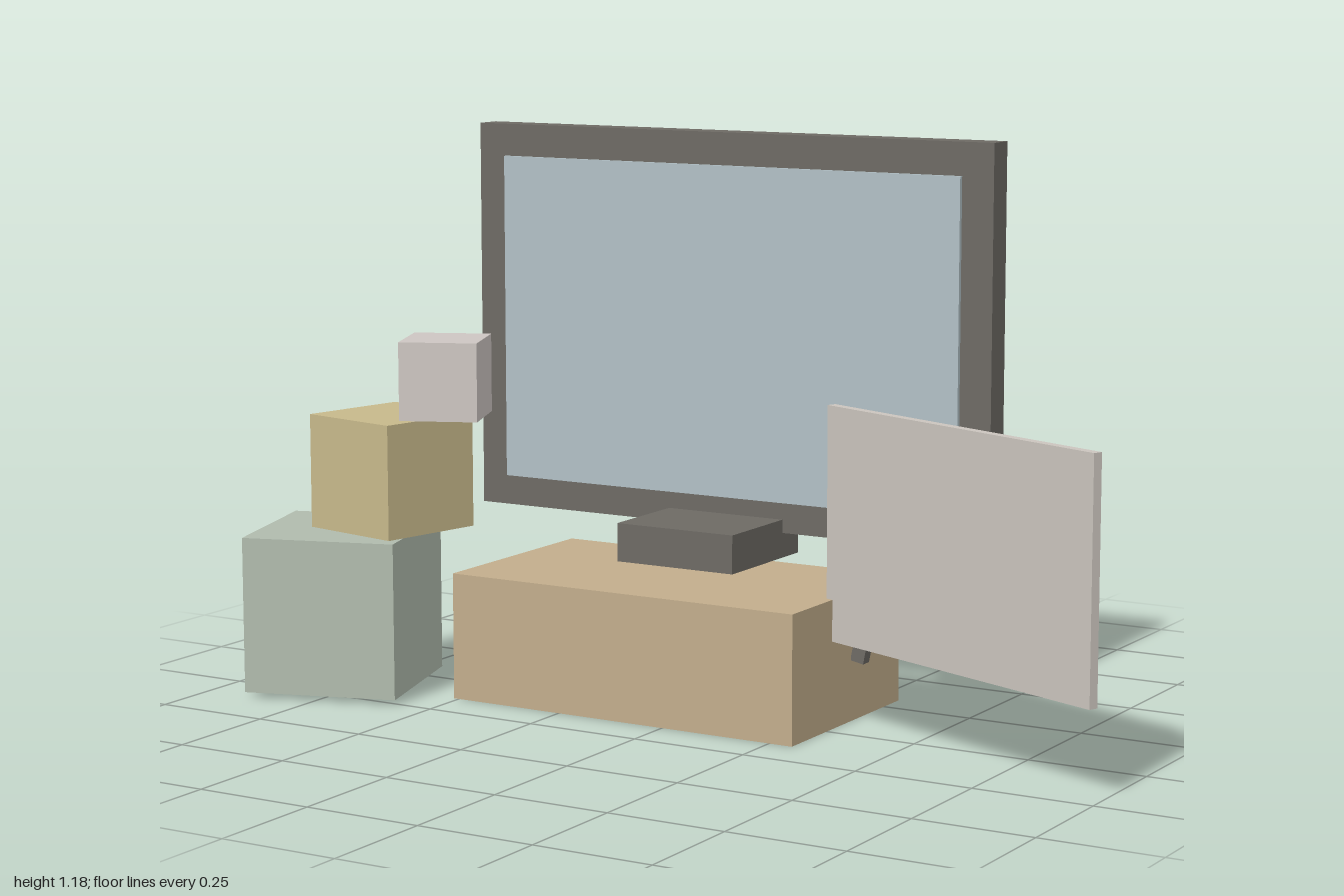
import * as THREE from 'three';

const paint = (name, color) => {
  const m = new THREE.MeshStandardMaterial({ color });
  m.name = name;
  return m;
};

export function createModel() {
  const group = new THREE.Group();
  group.name = 'televisionSet';

  const charcoal = paint('charcoal', 0x6d6a64);
  const glass = paint('paleBlue', 0xb1c0c5);
  const wood = paint('tanWood', 0xc2ad8c);
  const sage = paint('sageGreen', 0xb0bbad);
  const straw = paint('strawYellow', 0xc7b98b);
  const stone = paint('warmGrey', 0xcdc6c2);
  const board = paint('offWhite', 0xcbc5be);
  const coral = paint('coral', 0xc98f7c);

  // Box by size and centre, with optional turns about y and z
  const box = (name, material, size, position, turnY = 0, turnZ = 0) => {
    const mesh = new THREE.Mesh(new THREE.BoxGeometry(...size), material);
    mesh.name = name;
    mesh.position.set(...position);
    mesh.rotation.set(0, turnY, turnZ);
    group.add(mesh);
  };

  // Cabinet, stand and television
  box('cabinet', wood, [0.814, 0.268, 0.46], [-0.105, 0.134, -0.085]);
  box('televisionStand', charcoal, [0.28, 0.082, 0.281], [-0.105, 0.324, -0.219]);
  box('televisionBody', charcoal, [1.248, 0.843, 0.06], [-0.104, 0.758, -0.32]);
  box('screen', glass, [1.108, 0.707, 0.009], [-0.102, 0.757, -0.279]);

  // Stack of twisted cubes
  box('largeCube', sage, [0.331, 0.331, 0.331], [-0.79, 0.176, 0.153], 0.307);
  box('mediumCube', straw, [0.243, 0.243, 0.243], [-0.704, 0.4635, 0.091], -0.21);
  box('smallCube', stone, [0.166, 0.166, 0.166], [-0.585, 0.668, 0.059], 0.41);

  // Angled panel with a rail behind its upper edge
  const panelTurn = -0.378;
  box('sidePanel', board, [0.759, 0.481, 0.02], [0.6415, 0.4225, 0.1035], panelTurn);
  box('panelRail', coral, [0.624, 0.035, 0.027], [0.645, 0.6345, 0.07], panelTurn);

  // Leaning lever beside the cabinet
  box('lever', charcoal, [0.03, 0.25, 0.026], [0.34, 0.2475, -0.115], 0, -0.2);

  return group;
}
